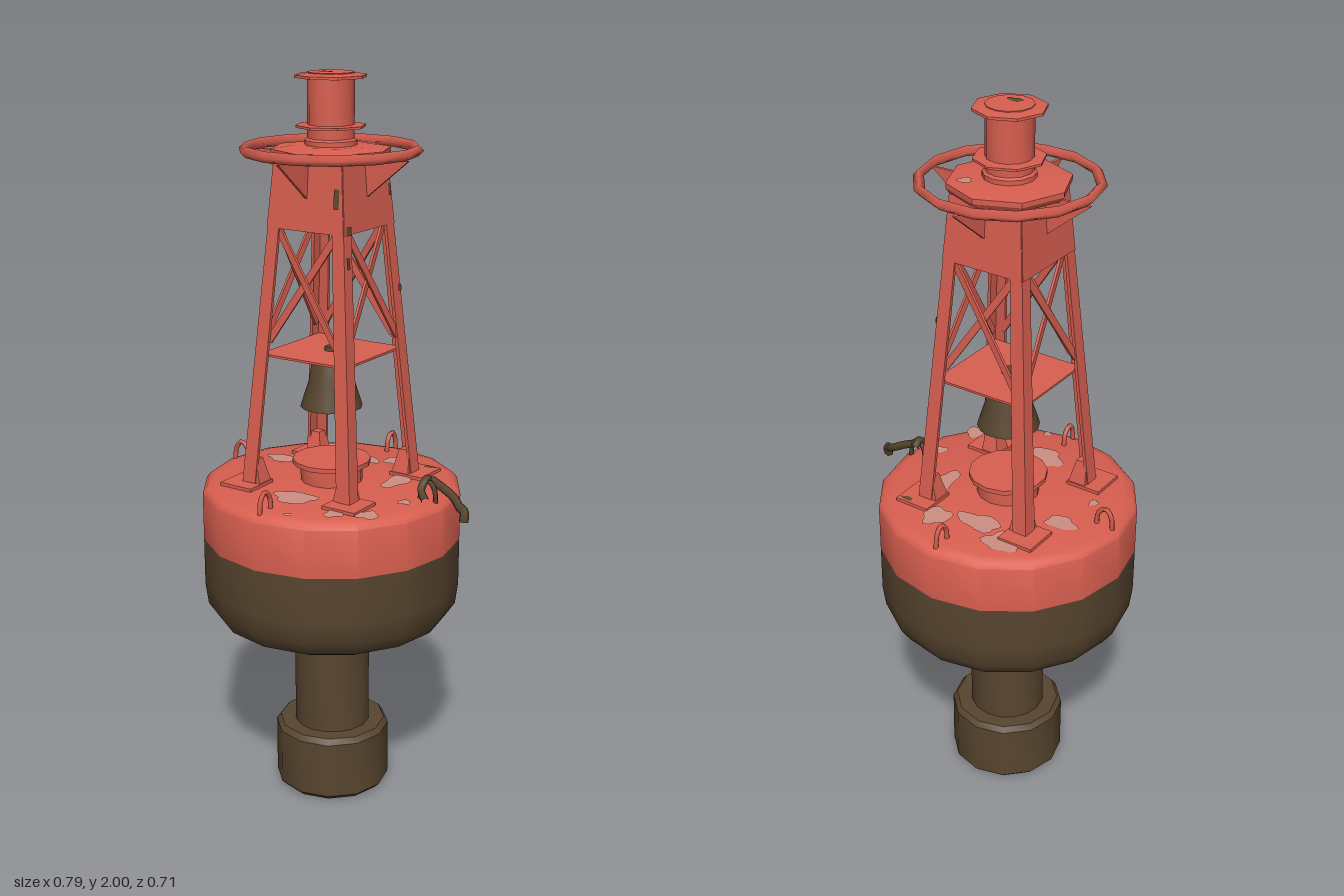
import * as THREE from 'three';
import { toCreasedNormals } from 'three/addons/utils/BufferGeometryUtils.js';

const paint = (name, color, side = THREE.FrontSide) => {
  const m = new THREE.MeshStandardMaterial({ color, side });
  m.name = name;
  return m;
};

export function createModel() {
  const red = paint('red paint', 0xd95f50);
  const brown = paint('weathered brown', 0x58452f);
  const faded = paint('faded paint', 0xcf8f83, THREE.DoubleSide);
  const rust = paint('rust spot', 0x5f4a2e, THREE.DoubleSide);

  const model = new THREE.Group();
  model.name = 'bellBuoy';
  const buoy = new THREE.Group();
  buoy.name = 'buoy';
  buoy.position.x = -0.045;
  model.add(buoy);

  const add = (name, geo, mat, parent = buoy) => {
    const m = new THREE.Mesh(geo, mat);
    m.name = name;
    parent.add(m);
    return m;
  };
  // Turned part; profile runs from bottom to top as [radius, y]
  const turned = (name, profile, sides, mat, crease = 0.6) => {
    const pts = profile.map(([r, y]) => new THREE.Vector2(r, y));
    return add(name, toCreasedNormals(new THREE.LatheGeometry(pts, sides), crease), mat);
  };
  // Box whose x and z limits follow rule(y) -> [x0, x1, z0, z1]
  const tapered = (y0, y1, rule) => {
    const g = new THREE.BoxGeometry(1, 1, 1);
    const p = g.attributes.position;
    for (let i = 0; i < p.count; i++) {
      const y = p.getY(i) > 0 ? y1 : y0;
      const [x0, x1, z0, z1] = rule(y);
      p.setXYZ(i, p.getX(i) > 0 ? x1 : x0, y, p.getZ(i) > 0 ? z1 : z0);
    }
    g.computeVertexNormals();
    return g;
  };
  // Flat bar from a to b
  const bar = (name, a, b, width, thick, mat, parent) => {
    const va = new THREE.Vector3(...a), vb = new THREE.Vector3(...b);
    const m = add(name, new THREE.BoxGeometry(thick, width, va.distanceTo(vb)), mat, parent);
    m.position.copy(va).add(vb).multiplyScalar(0.5);
    m.quaternion.setFromUnitVectors(new THREE.Vector3(0, 0, 1), vb.clone().sub(va).normalize());
    const look = new THREE.Matrix4().lookAt(vb, va, new THREE.Vector3(0, 1, 0));
    m.quaternion.setFromRotationMatrix(look);
    return m;
  };
  const tube = (name, pts, r, mat, parent, steps = 10) => add(name, new THREE.TubeGeometry(
    new THREE.CatmullRomCurve3(pts.map(p => new THREE.Vector3(...p))), steps, r, 5), mat, parent);

  // Ballast, stem and float
  turned('ballastWeight', [[0, 0], [0.145, 0], [0.16, 0.015], [0.16, 0.175], [0.148, 0.19], [0, 0.19]], 12, brown);
  turned('stem', [[0.106, 0.18], [0.106, 0.53]], 16, brown);
  turned('lowerHull', [[0, 0.515], [0.29, 0.515], [0.32, 0.53], [0.347, 0.57], [0.355, 0.63], [0.355, 0.76]], 16, brown, 0.9);
  turned('upperHull', [[0.355, 0.76], [0.355, 0.892], [0.345, 0.905], [0.32, 0.912], [0, 0.912]], 16, red, 0.7);

  // Deck hatch
  turned('hatch', [[0.085, 0.91], [0.085, 0.96], [0.107, 0.96], [0.107, 0.973], [0, 0.973]], 14, red);

  // Bell hung under a square plate
  const plate = add('bellPlate', new THREE.BoxGeometry(0.27, 0.006, 0.27), red);
  plate.position.y = 1.272;
  turned('bell', [[0, 1.14], [0.07, 1.14], [0.084, 1.12], [0.08, 1.135], [0.062, 1.19], [0.053, 1.24],
    [0.042, 1.262], [0.02, 1.268], [0.018, 1.285], [0, 1.287]], 14, brown, 0.7);
  turned('clapper', [[0, 1.095], [0.012, 1.103], [0.008, 1.15], [0, 1.15]], 8, brown);

  // Tower: half-width shrinks evenly with height
  const half = y => THREE.MathUtils.lerp(0.174, 0.104, (y - 0.92) / 0.87);
  const flange = y => THREE.MathUtils.lerp(0.042, 0.034, (y - 0.92) / 0.87);
  for (let i = 0; i < 4; i++) {
    const side = new THREE.Group();
    side.name = 'towerSide' + (i + 1);
    side.rotation.y = i * Math.PI / 2;
    buoy.add(side);

    // Angle-section corner leg with its foot
    add('legFlangeA', tapered(0.912, 1.785, y => [half(y) - flange(y), half(y), half(y) - 0.009, half(y)]), red, side);
    add('legFlangeB', tapered(0.912, 1.785, y => [half(y) - 0.009, half(y), half(y) - flange(y), half(y)]), red, side);
    add('footPlate', tapered(0.91, 0.921, () => [0.115, 0.217, 0.115, 0.217]), red, side);
    add('footGusset', tapered(0.92, 0.985, y => {
      const w = y < 0.95 ? 0.055 : 0.035;
      return [half(y) - w, half(y) - 0.003, half(y) - w, half(y) - 0.003];
    }), red, side);

    // Cross bracing and head panel
    for (const s of [-1, 1]) {
      const lo = 1.31, hi = 1.615;
      bar('crossBrace', [-s * (half(lo) - 0.03), lo, half(lo) - 0.012 - s * 0.004],
        [s * (half(hi) - 0.025), hi, half(hi) - 0.012 - s * 0.004], 0.019, 0.007, red, side);
    }
    add('headPanel', tapered(1.61, 1.79, y => [-half(y), half(y), half(y) - 0.01, half(y) + 0.002]), red, side);

    // Triangular bracket carrying the guard ring
    const tri = new THREE.Shape([[0.09, 1.675], [0.235, 1.792], [0.09, 1.792]].map(p => new THREE.Vector2(...p)));
    const bracket = add('ringBracket', new THREE.ExtrudeGeometry(tri, { depth: 0.008, bevelEnabled: false }), red, side);
    bracket.position.z = -0.004;

    // Lifting eye on the deck edge, in a radial plane
    tube('liftingEye', [[0.283, 0.905, 0], [0.288, 0.945, 0], [0.308, 0.963, 0], [0.326, 0.945, 0], [0.332, 0.895, 0]],
      0.007, i === 0 ? brown : red, side);
  }

  // Head platform, guard ring and lantern
  turned('headPlatform', [[0, 1.785], [0.15, 1.785], [0.158, 1.797], [0.158, 1.81], [0.1, 1.818], [0, 1.818]], 8, red, 0.5);
  const ring = add('guardRing', new THREE.TorusGeometry(0.226, 0.014, 4, 14), red);
  ring.rotation.x = Math.PI / 2;
  ring.position.y = 1.806;
  turned('lanternBody', [[0.068, 1.81], [0.068, 1.83], [0.061, 1.835], [0.061, 2.0], [0, 2.0]], 12, red);
  turned('lanternFlange', [[0.05, 1.86], [0.092, 1.862], [0.092, 1.868], [0.05, 1.87]], 8, red, 0.5);
  turned('lanternCap', [[0.05, 1.984], [0.094, 1.986], [0.094, 1.993], [0.06, 1.998], [0, 2.0]], 8, red, 0.5);

  // Shackle hanging over the edge of the float
  const shackle = new THREE.Group();
  shackle.name = 'shackle';
  buoy.add(shackle);
  tube('shackleBow', [[0.325, 0.925, 0.045], [0.3, 0.945, 0.025], [0.3, 0.968, -0.005], [0.297, 0.955, -0.028]], 0.011, brown, shackle);
  tube('shackleArm', [[0.305, 0.962, -0.02], [0.345, 0.943, -0.02], [0.375, 0.925, -0.018], [0.405, 0.905, 0]], 0.012, brown, shackle);
  tube('shackleEnd', [[0.4, 0.91, -0.005], [0.42, 0.9, 0.005], [0.422, 0.875, 0.012]], 0.013, brown, shackle, 6);

  // Irregular worn spots: [x, y, z, radiusX, radiusZ]
  const blob = (name, [x, y, z, rx, rz], mat, seed) => {
    const g = new THREE.CircleGeometry(1, 18);
    const p = g.attributes.position;
    for (let i = 1; i < p.count; i++) {
      const a = (i - 1) / 18 * Math.PI * 2;
      const k = 1 + 0.14 * Math.sin(3 * a + seed) + 0.1 * Math.sin(5 * a + seed * 2);
      p.setXY(i, p.getX(i) * k * rx, p.getY(i) * k * rz);
    }
    const m = add(name, g, mat);
    m.position.set(x, y, z);
    m.rotation.x = -Math.PI / 2;
    return m;
  };
  [[-0.13, 0.915, -0.22, 0.05, 0.045], [-0.03, 0.9155, -0.18, 0.065, 0.035], [0.08, 0.916, -0.22, 0.038, 0.042],
    [-0.21, 0.915, -0.06, 0.045, 0.03], [0.165, 0.915, -0.07, 0.03, 0.06], [0.27, 0.915, 0.06, 0.018, 0.018],
    [-0.23, 0.915, 0.07, 0.012, 0.016], [0.01, 0.915, 0.19, 0.06, 0.045], [0.165, 0.915, 0.235, 0.025, 0.028],
    [0.243, 0.915, 0.195, 0.03, 0.03], [0.07, 0.915, 0.305, 0.012, 0.01], [0.07, 1.82, -0.09, 0.018, 0.018],
  ].forEach((b, i) => blob('fadedPatch', b, faded, i * 1.7));
  blob('deckRust', [0.19, 0.923, -0.205, 0.018, 0.008], rust, 1);
  blob('capRust', [0, 2.002, 0.022, 0.022, 0.012], rust, 2);

  // Rust streaks on the head and legs: [x, y, side turn, width, height]
  [[0.095, 1.7, 0, 0.016, 0.05], [0.1, 1.7, 1, 0.012, 0.03], [-0.1, 1.62, 1, 0.022, 0.022],
    [-0.112, 1.54, 1, 0.014, 0.03], [0.122, 1.44, 1, 0.014, 0.018]].forEach(([x, y, turn, w, h]) => {
    const pivot = new THREE.Group();
    pivot.name = 'rustStreak';
    pivot.rotation.y = turn * Math.PI / 2;
    buoy.add(pivot);
    const m = add('rustMark', new THREE.PlaneGeometry(w, h), rust, pivot);
    m.position.set(x, y, half(y) + 0.005);
    m.rotation.x = -0.08;
  });

  return model;
}
